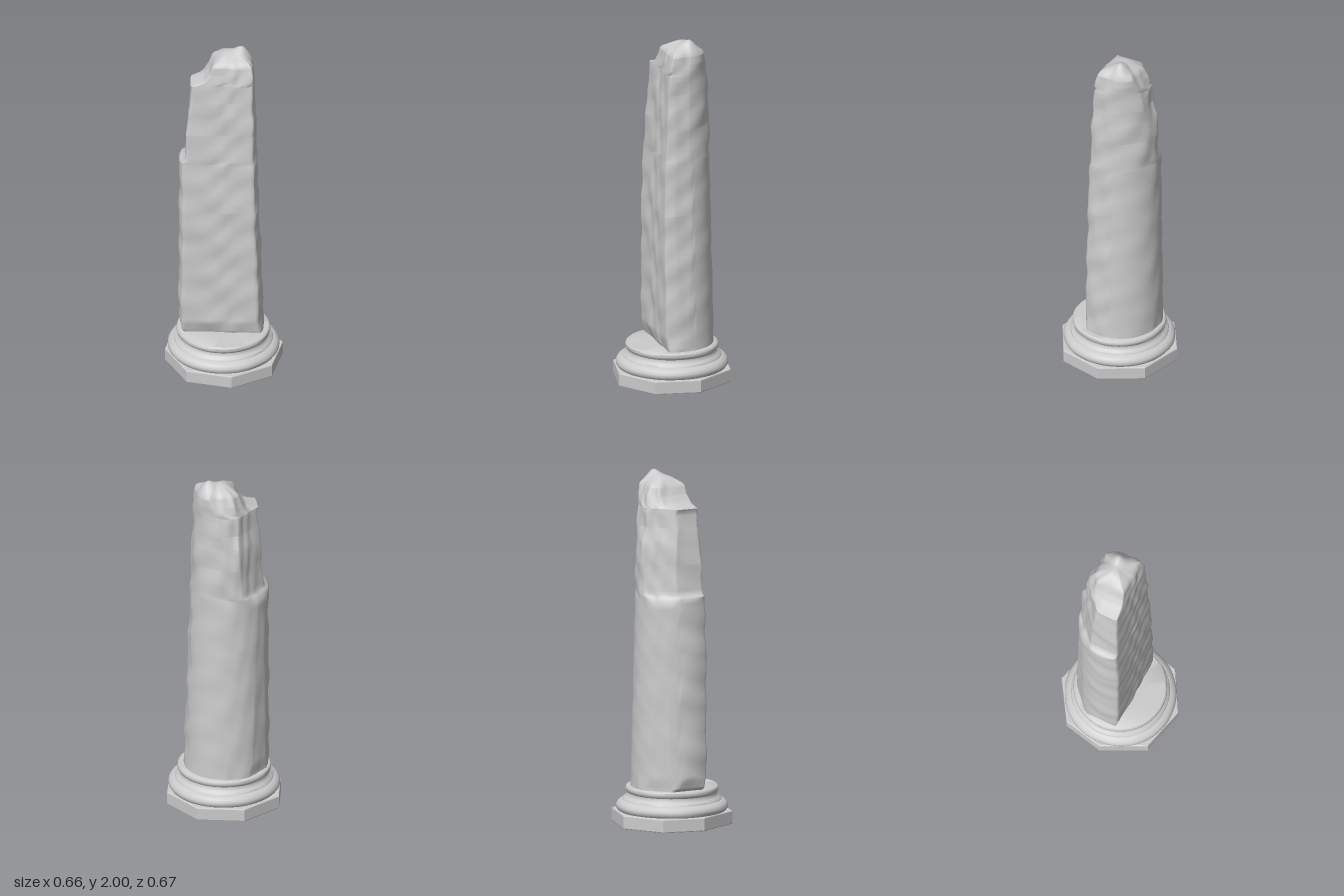
import * as THREE from 'three';
import { toCreasedNormals } from 'three/addons/utils/BufferGeometryUtils.js';

const stone = new THREE.MeshStandardMaterial({ color: 0xcccccc });

// Shaft outline by height: y, left, right, back, front, back-left break distance
const LEVELS = [
  [0.20, -0.215, 0.22, -0.235, 0.080, 0.33],
  [0.23, -0.235, 0.22, -0.235, 0.090, 0.33],
  [0.29, -0.252, 0.22, -0.235, 0.104, 0.34],
  [1.00, -0.262, 0.192, -0.235, 0.104, 0.34],
  [1.285, -0.268, 0.184, -0.23, 0.094, 0.34],
  [1.31, -0.258, 0.184, -0.23, 0.092, 0.31],
  [1.33, -0.215, 0.183, -0.23, 0.092, 0.29],
  [1.50, -0.205, 0.178, -0.225, 0.085, 0.28],
  [1.62, -0.198, 0.174, -0.212, 0.080, 0.265],
  [1.70, -0.190, 0.171, -0.192, 0.076, 0.25],
  [1.79, -0.175, 0.168, -0.185, 0.070, 0.24],
  [1.81, -0.182, 0.167, -0.182, 0.068, 0.235],
  [1.83, -0.115, 0.166, -0.178, 0.066, 0.22],
  [1.87, -0.085, 0.164, -0.168, 0.060, 0.20],
  [1.92, -0.065, 0.160, -0.150, 0.052, 0.18],
];

function outlineAt(y) {
  let i = 0;
  while (i < LEVELS.length - 2 && y > LEVELS[i + 1][0]) i++;
  const [a, b] = [LEVELS[i], LEVELS[i + 1]];
  const t = (y - a[0]) / (b[0] - a[0]);
  return a.map((v, k) => v + (b[k] - v) * t);
}

// Gentle, repeatable weathering
const wear = (x, y, z) =>
  0.0022 * Math.sin(23 * y + 17 * x + 9 * z) +
  0.0016 * Math.sin(41 * y - 31 * x + 27 * z + 1.3) +
  0.0012 * Math.sin(13 * y + 53 * x - 38 * z + 2.1);

// One point of the section: a round column cut by the flat and broken faces
function sectionPoint(y, angle) {
  const [, left, right, back, front, diag] = outlineAt(y);
  const ox = (left + right) / 2, oz = (back + front) / 2;
  const dx = Math.cos(angle), dz = Math.sin(angle);
  const k = (y - 0.2) / 1.72;
  const cx = -0.015 - 0.025 * k, radius = 0.238 - 0.03 * k;
  const px = ox - cx, b = px * dx + oz * dz;
  let r = -b + Math.sqrt(Math.max(0, b * b - px * px - oz * oz + radius * radius));
  const cut = (nx, nz, d) => {
    const facing = nx * dx + nz * dz;
    if (facing > 1e-4) r = Math.min(r, (d - nx * ox - nz * oz) / facing);
  };
  cut(1, 0, right);
  cut(-1, 0, -left);
  cut(0, 1, front);
  cut(0, -1, -back);
  cut(-1, -1, diag);
  r += wear(dx * 0.2, y, dz * 0.2) * (dz > 0 || y > 1.3 ? 1.4 : 0.5);
  return [ox + dx * r, y, oz + dz * r, ox, oz];
}

function shaftGeometry() {
  const N = 160, CAP = 14, pos = [], index = [];
  const heights = new Set(LEVELS.map(l => l[0]));
  for (let y = 0.2; y < 1.92; y += 0.035) heights.add(y);
  const ys = [...heights].sort((a, b) => a - b);

  for (const y of ys) {
    for (let i = 0; i < N; i++) pos.push(...sectionPoint(y, (i / N) * Math.PI * 2).slice(0, 3));
  }
  // Broken crown: shrinking rings raised into two uneven bumps
  for (let c = 1; c <= CAP; c++) {
    const s = 1 - c / CAP;
    for (let i = 0; i < N; i++) {
      const [x, y, z, ox, oz] = sectionPoint(1.92, (i / N) * Math.PI * 2);
      const qx = ox + (x - ox) * s, qz = oz + (z - oz) * s;
      const bump = (bx, bz, w) => Math.exp(-((qx - bx) ** 2 + (qz - bz) ** 2) / (w * w));
      const rise = 0.04 + 0.052 * bump(0.11, -0.07, 0.045) + 0.022 * bump(0, -0.05, 0.06);
      pos.push(qx, y + rise * Math.pow(1 - s * s, 0.6) + wear(qx, y, qz), qz);
    }
  }
  const rows = ys.length + CAP;
  for (let j = 0; j < rows - 1; j++) {
    for (let i = 0; i < N; i++) {
      const a = j * N + i, b = j * N + (i + 1) % N, c = a + N, d = b + N;
      index.push(a, c, b, b, c, d);
    }
  }
  const geo = new THREE.BufferGeometry();
  geo.setAttribute('position', new THREE.Float32BufferAttribute(pos, 3));
  geo.setIndex(index);
  geo.computeVertexNormals();
  return geo;
}

function mouldingGeometry() {
  const profile = [
    [0.29, 0.07], [0.303, 0.078], [0.313, 0.092], [0.313, 0.108], [0.303, 0.124],
    [0.287, 0.134], [0.276, 0.138], [0.272, 0.148], [0.258, 0.156], [0.25, 0.168],
    [0.25, 0.178], [0.258, 0.186], [0.261, 0.198], [0.259, 0.21], [0.252, 0.216],
    [0.12, 0.217], [0, 0.217],
  ].map(([r, y]) => new THREE.Vector2(r, y));
  const geo = new THREE.LatheGeometry(profile, 96);
  // Worn edges
  const p = geo.attributes.position;
  for (let i = 0; i < p.count; i++) {
    const x = p.getX(i), y = p.getY(i), z = p.getZ(i);
    const f = 1 + 1.6 * wear(x * 0.6, y, z * 0.6);
    p.setXYZ(i, x * f - 0.003, y, z * f);
  }
  return toCreasedNormals(geo, 0.7);
}

function plinthGeometry() {
  const corners = [
    [-0.07, -0.337], [0.19, -0.281], [0.328, -0.055], [0.276, 0.198],
    [0.055, 0.335], [-0.2, 0.278], [-0.329, 0.04], [-0.285, -0.192],
  ];
  const bevel = 0.006;
  const shape = new THREE.Shape(corners.map(([x, z]) => new THREE.Vector2(x, -z)));
  const geo = new THREE.ExtrudeGeometry(shape, {
    depth: 0.077 - 2 * bevel, bevelEnabled: true, bevelThickness: bevel,
    bevelSize: bevel, bevelOffset: -bevel, bevelSegments: 2,
  });
  geo.rotateX(-Math.PI / 2).translate(0, bevel, 0);
  return geo;
}

export function createModel() {
  const group = new THREE.Group();
  group.name = 'brokenColumn';
  const parts = {
    plinth: plinthGeometry(),
    baseMoulding: mouldingGeometry(),
    brokenShaft: shaftGeometry(),
  };
  for (const [name, geometry] of Object.entries(parts)) {
    const mesh = new THREE.Mesh(geometry, stone);
    mesh.name = name;
    group.add(mesh);
  }
  return group;
}
